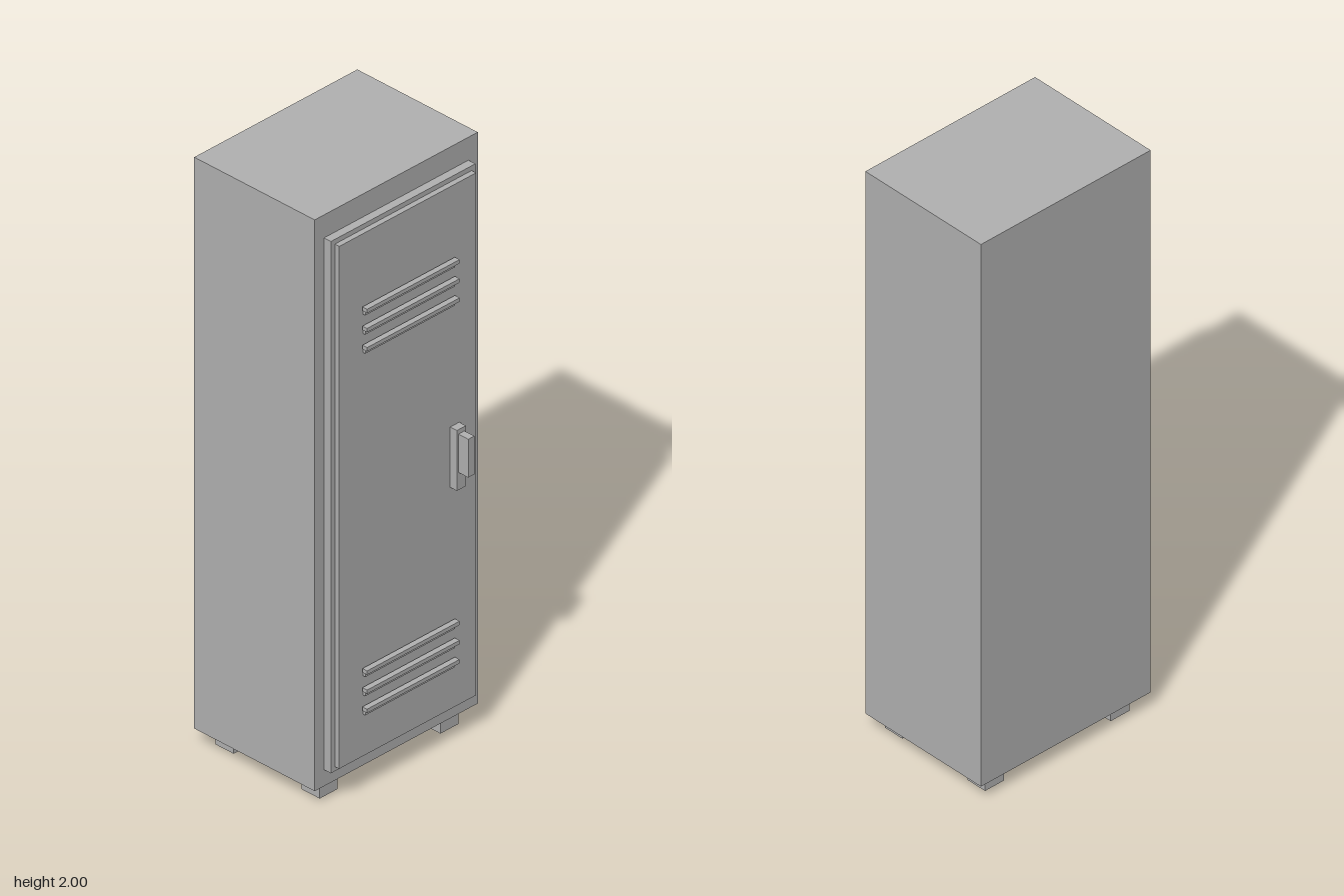
import * as THREE from 'three';

export function createModel() {
  const locker = new THREE.Group();
  locker.name = 'locker';

  const metal = new THREE.MeshStandardMaterial({ color: 0xb2b2b2 });
  metal.name = 'grey metal';

  // Box given by its lower and upper limits on each axis
  function box(name, [x0, x1], [y0, y1], [z0, z1], parent = locker) {
    const mesh = new THREE.Mesh(new THREE.BoxGeometry(x1 - x0, y1 - y0, z1 - z0), metal);
    mesh.position.set((x0 + x1) / 2, (y0 + y1) / 2, (z0 + z1) / 2);
    mesh.name = name;
    parent.add(mesh);
    return mesh;
  }

  // Cabinet and stepped door
  box('cabinet', [-0.335, 0.335], [0.06, 2], [-0.3, 0.187]);
  box('doorFrame', [-0.297, 0.297], [0.116, 1.922], [0.187, 0.215]);
  box('doorPanel', [-0.281, 0.281], [0.132, 1.906], [0.215, 0.233]);

  // Two banks of three vents: a narrow slat under a projecting lip
  for (const bankTop of [1.662, 0.434]) {
    for (let i = 0; i < 3; i++) {
      const top = bankTop - i * 0.065;
      const vent = new THREE.Group();
      vent.name = 'vent';
      box('ventSlat', [-0.184, 0.184], [top - 0.029, top - 0.004], [0.233, 0.243], vent);
      box('ventLip', [-0.19, 0.19], [top - 0.013, top], [0.237, 0.256], vent);
      locker.add(vent);
    }
  }

  // Handle: back plate with a raised grip
  const handle = new THREE.Group();
  handle.name = 'handle';
  box('handlePlate', [0.175, 0.212], [0.885, 1.09], [0.233, 0.26], handle);
  box('handleGrip', [0.181, 0.206], [0.945, 1.075], [0.26, 0.3], handle);
  locker.add(handle);

  // Four square feet
  for (const x of [-0.248, 0.248]) {
    for (const z of [-0.227, 0.121]) {
      box('foot', [x - 0.037, x + 0.037], [0, 0.06], [z - 0.037, z + 0.037]);
    }
  }

  return locker;
}
